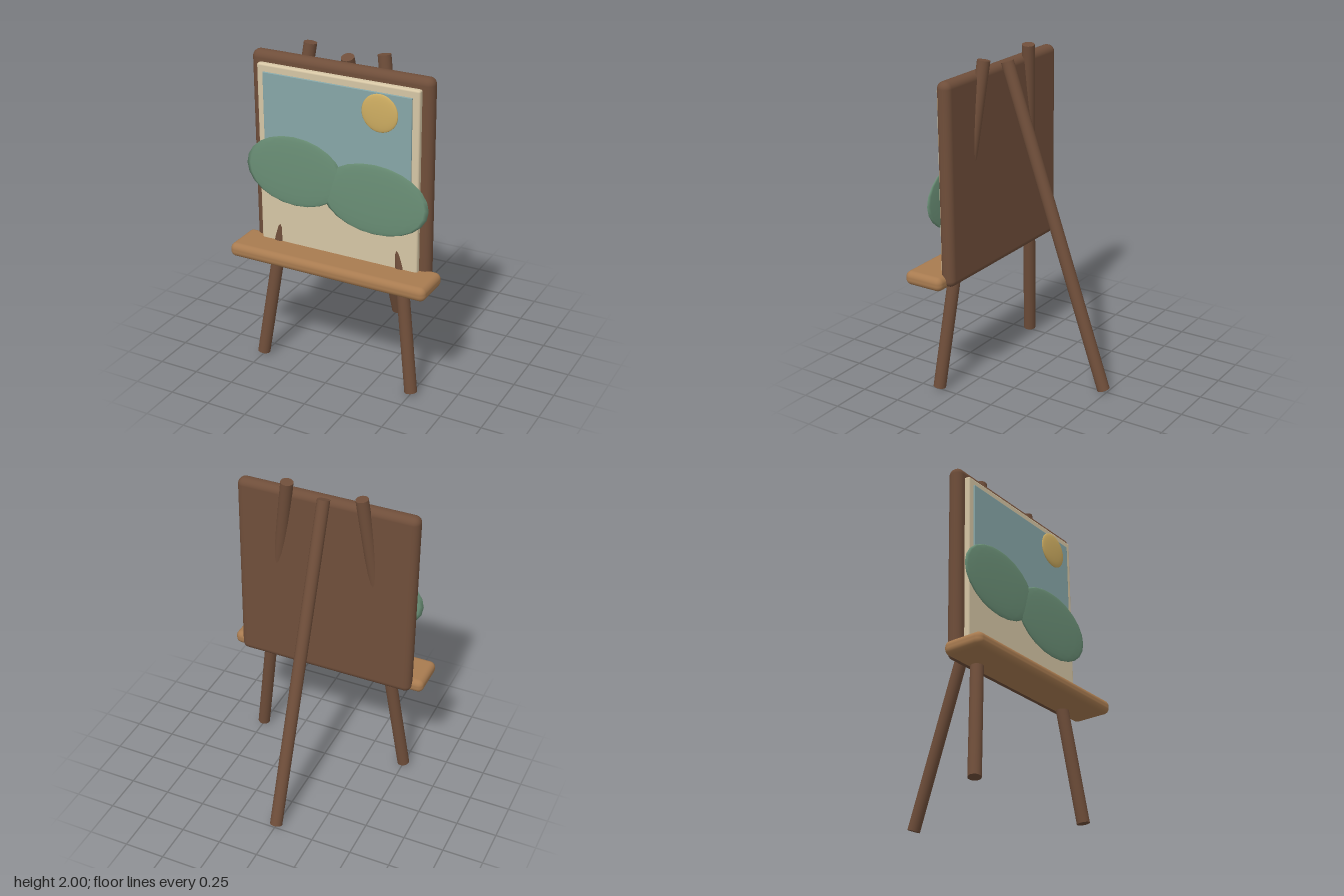
import * as THREE from 'three';
import { RoundedBoxGeometry } from 'three/addons/geometries/RoundedBoxGeometry.js';

const mat = (color) => new THREE.MeshStandardMaterial({ color });

export function createModel() {
  const easel = new THREE.Group();
  easel.name = 'easel';
  const wood = mat(0x6f4e3a);
  const trayWood = mat(0xa87b50);
  const linen = mat(0xd6c6a5);
  const skyBlue = mat(0x87a7a8);
  const green = mat(0x6a8f76);
  const yellow = mat(0xcfae62);

  const add = (name, geometry, material, x, y, z) => {
    const mesh = new THREE.Mesh(geometry, material);
    mesh.name = name;
    mesh.position.set(x, y, z);
    easel.add(mesh);
    return mesh;
  };

  // Round pole between two points
  const pole = (name, from, to) => {
    const a = new THREE.Vector3(...from);
    const dir = new THREE.Vector3(...to).sub(a);
    const mid = a.clone().addScaledVector(dir, 0.5);
    const mesh = add(name, new THREE.CylinderGeometry(0.038, 0.038, dir.length(), 20), wood, mid.x, mid.y, mid.z);
    mesh.quaternion.setFromUnitVectors(new THREE.Vector3(0, 1, 0), dir.normalize());
  };

  // Box with rounded edges given by its limits
  const slab = (name, material, [x, y0, y1, z0, z1], radius) =>
    add(name, new RoundedBoxGeometry(2 * x, y1 - y0, z1 - z0, 4, radius), material, 0, (y0 + y1) / 2, (z0 + z1) / 2);

  // Flattened ball used for the painted shapes
  const blob = (name, material, x, y, z, rx, ry, rz, segments) =>
    add(name, new THREE.SphereGeometry(1, segments, segments * 0.75), material, x, y, z).scale.set(rx, ry, rz);

  // Tripod legs
  for (const [side, s] of [['left', 1], ['right', -1]]) {
    pole(`${side}Leg`, [s * 0.5, 0.017, 0.372], [s * 0.23, 1.994, 0.203]);
  }
  pole('backLeg', [0, 0.013, -0.478], [0, 1.94, 0.198]);

  // Frame board, canvas and tray
  slab('frame', wood, [0.565, 0.71, 1.93, 0.214, 0.304], 0.042);
  slab('canvas', linen, [0.507, 0.77, 1.87, 0.28, 0.335], 0.012);
  slab('tray', trayWood, [0.632, 0.7, 0.785, 0.255, 0.51], 0.036);

  // Painted landscape
  slab('sky', skyBlue, [0.465, 1.15, 1.825, 0.328, 0.344], 0.003);
  blob('leftScreenHill', green, -0.26, 1.262, 0.361, 0.315, 0.213, 0.012, 16);
  blob('rightScreenHill', green, 0.25, 1.193, 0.361, 0.335, 0.213, 0.012, 16);
  blob('sun', yellow, 0.282, 1.715, 0.361, 0.111, 0.111, 0.013, 24);

  return easel;
}
